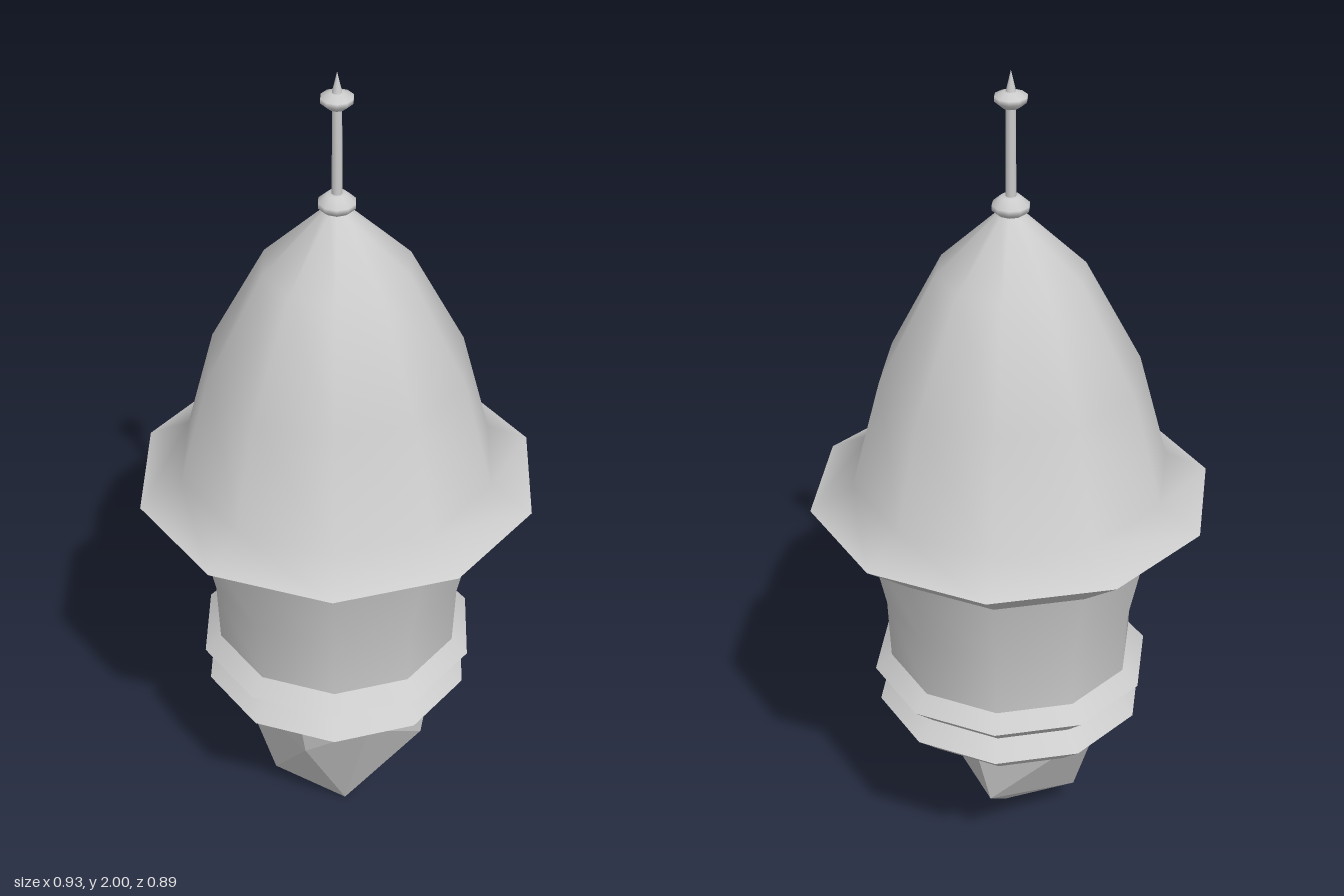
import * as THREE from 'three';
import { ConvexGeometry } from 'three/addons/geometries/ConvexGeometry.js';

const material = new THREE.MeshStandardMaterial({ color: 0xcccccc, side: THREE.DoubleSide });
const TURN = THREE.MathUtils.degToRad(20);

// Ten-sided turned part; profile is [radius, height] from bottom to top
function turned(name, profile) {
  const points = profile.map(([r, y]) => new THREE.Vector2(r, y));
  const mesh = new THREE.Mesh(new THREE.LatheGeometry(points, 10, TURN), material);
  mesh.name = name;
  return mesh;
}

// One turned band per profile step, so the edges between bands stay sharp
function sharpTurned(name, profile) {
  const group = new THREE.Group();
  group.name = name;
  for (let i = 0; i < profile.length - 1; i++) {
    group.add(turned(name + 'Band', profile.slice(i, i + 2)));
  }
  return group;
}

export function createModel() {
  const model = new THREE.Group();
  model.name = 'turret';

  // Domed roof with flared rim, and the sloping underside of the eave
  model.add(turned('roof', [[0.463, 0.975], [0.365, 1.03], [0.297, 1.29], [0.168, 1.54], [0.03, 1.675], [0, 1.69]]));
  model.add(turned('eave', [[0.332, 0.87], [0.463, 0.975]]));

  // Tower wall, widening towards the eave
  model.add(turned('wall', [[0.288, 0.55], [0.295, 0.7], [0.332, 0.87]]));

  // Two stacked mouldings with a closed underside
  model.add(sharpTurned('mouldings', [
    [0, 0.365], [0.25, 0.365], [0.317, 0.425], [0.27, 0.463], [0.327, 0.515], [0.288, 0.55],
  ]));

  // Finial: knob, pole, disc and spike
  model.add(turned('finialKnob', [[0.022, 1.668], [0.042, 1.684], [0.042, 1.696], [0.022, 1.714], [0, 1.716]]));
  model.add(turned('finialPole', [[0.012, 1.7], [0.011, 1.925]]));
  model.add(turned('finialDisc', [[0, 1.915], [0.02, 1.918], [0.036, 1.932], [0.036, 1.943], [0.016, 1.952], [0, 1.955]]));
  model.add(turned('finialSpike', [[0.013, 1.945], [0.007, 1.97], [0, 2]]));

  // Rough, faceted rock under the tower
  const rockPoints = [
    [0.24, 0.37, 0.01], [0.15, 0.37, 0.18], [0, 0.37, 0.235], [-0.18, 0.37, 0.16],
    [-0.235, 0.37, -0.02], [-0.02, 0.37, -0.22], [0.05, 0.37, -0.19],
    [0.225, 0.25, 0.015], [0, 0.28, 0.21], [-0.02, 0.18, -0.15],
    [-0.125, 0.085, 0.1], [0.045, 0, 0.06],
  ].map((p) => new THREE.Vector3(...p));
  const rock = new THREE.Mesh(new ConvexGeometry(rockPoints), material);
  rock.name = 'rock';
  model.add(rock);

  return model;
}
